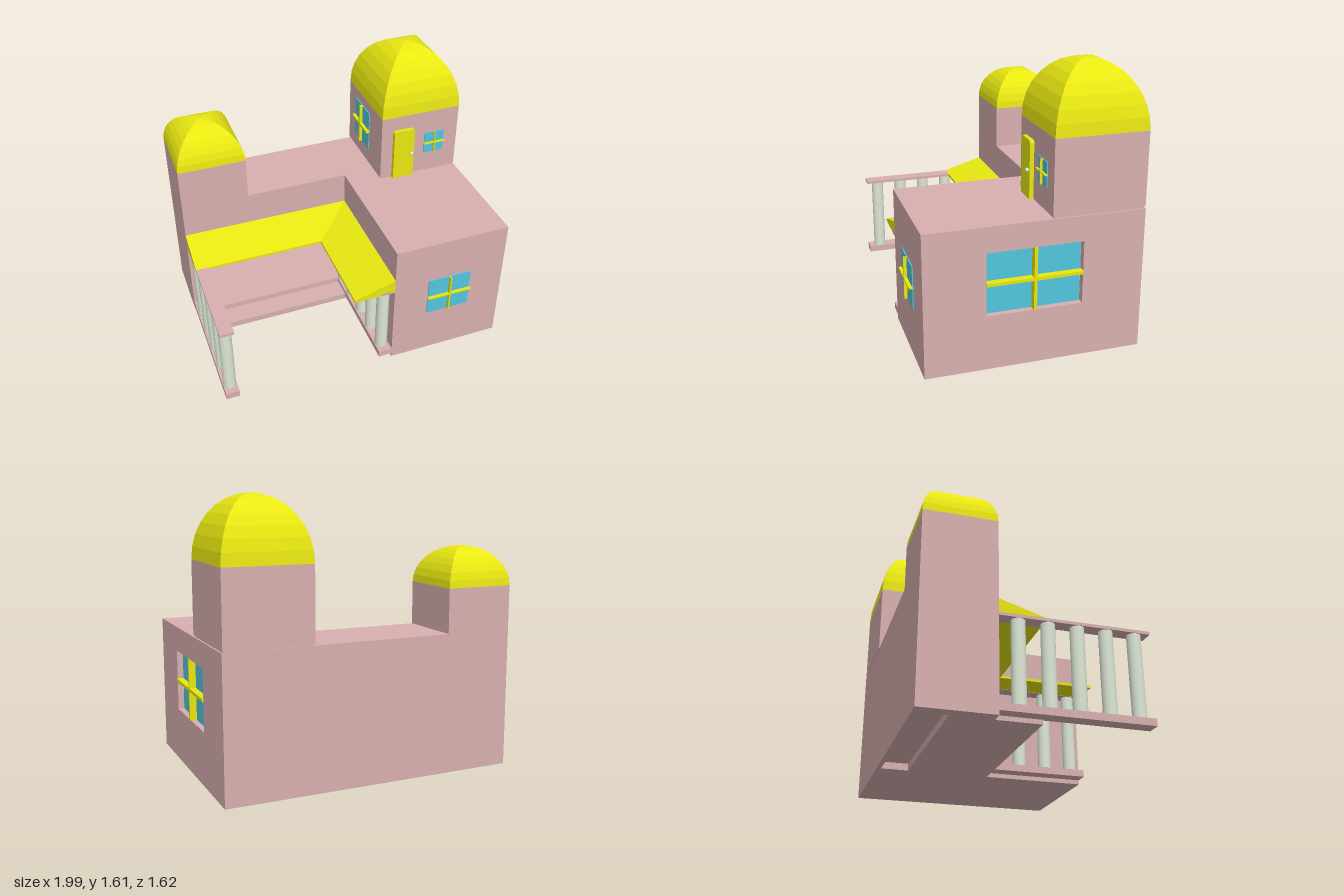
import * as THREE from 'three';

const paint = (color, extra = {}) => new THREE.MeshStandardMaterial({ color, ...extra });
const pink = paint(0xd8b0b0);
const yellow = paint(0xe8e812, { flatShading: true });
const glass = paint(0x52c6de);
const pale = paint(0xdde8d6);

export function createModel() {
  const house = new THREE.Group();
  house.name = 'house';

  const add = (name, geometry, material, parent = house) => {
    const mesh = new THREE.Mesh(geometry, material);
    mesh.name = name;
    parent.add(mesh);
    return mesh;
  };
  // Box given by its limits on each axis
  const box = (name, mat, x0, x1, y0, y1, z0, z1, parent) => {
    const m = add(name, new THREE.BoxGeometry(x1 - x0, y1 - y0, z1 - z0), mat, parent);
    m.position.set((x0 + x1) / 2, (y0 + y1) / 2, (z0 + z1) / 2);
    return m;
  };

  // Plan lines shared by the parts
  const L = -0.872, R = 0.872, B = -0.62, F = 0.61, wingX = 0.168, barZ = -0.212;
  const roofY = 0.82, ceilingY = 0.57;

  // Main wing, with a window opening through its right-hand wall
  const wallT = 0.04;
  box('wing', pink, wingX, R - wallT, 0, roofY, B, F);
  const wall = new THREE.Shape([[-F, 0], [-B, 0], [-B, roofY], [-F, roofY]].map(p => new THREE.Vector2(...p)));
  wall.holes.push(new THREE.Path([[-0.27, 0.315], [-0.27, 0.675], [0.27, 0.675], [0.27, 0.315]].map(p => new THREE.Vector2(...p))));
  const sideWall = add('sideWall', new THREE.ExtrudeGeometry(wall, { depth: wallT, bevelEnabled: false }), pink);
  sideWall.rotation.y = Math.PI / 2;
  sideWall.position.x = R - wallT;

  // Back range: thin walls round an open porch room, solid above
  box('backWall', pink, L, wingX, 0, ceilingY, B, B + 0.025);
  box('endWall', pink, L, L + 0.072, 0, ceilingY, B, barZ);
  box('upperRange', pink, L, wingX, ceilingY, roofY, B, barZ);

  // Porch floor and step
  box('porchFloor', pink, L + 0.072, wingX, 0.04, 0.075, B, -0.1);
  box('porchStep', pink, L + 0.072, wingX, 0, 0.04, -0.44, 0.03);

  // Railings on both sides of the porch
  for (const [name, x] of [['leftRailing', L], ['rightRailing', wingX - 0.082]]) {
    const railing = new THREE.Group();
    railing.name = name;
    house.add(railing);
    box('bottomRail', pink, x, x + 0.082, 0.025, 0.065, barZ, F, railing);
    box('topRail', pink, x, x + 0.082, 0.528, 0.545, barZ, F, railing);
    for (let i = 0; i < 5; i++) {
      const column = add('column', new THREE.CylinderGeometry(0.038, 0.038, 0.465, 20), pale, railing);
      column.position.set(x + 0.041, 0.2965, -0.1 + i * 0.159);
    }
  }

  // Awning: one wedge profile carried round the inner corner
  const profile = [[0, 0.53], [0, 0.62], [0.25, 0.545], [0.25, 0.53]];
  const rings = [
    profile.map(([d, y]) => [L, y, barZ + d]),
    profile.map(([d, y]) => [wingX - d, y, barZ + d]),
    profile.map(([d, y]) => [wingX - d, y, F]),
  ];
  const verts = [];
  const quad = (a, b, c, d) => verts.push(...a, ...b, ...c, ...a, ...c, ...d);
  for (let s = 0; s < 2; s++) {
    for (let k = 0; k < 4; k++) {
      const n = (k + 1) % 4;
      quad(rings[s][k], rings[s][n], rings[s + 1][n], rings[s + 1][k]);
    }
  }
  quad(rings[0][0], rings[0][3], rings[0][2], rings[0][1]);
  quad(...rings[2]);
  const awning = new THREE.BufferGeometry();
  awning.setAttribute('position', new THREE.Float32BufferAttribute(verts, 3));
  awning.computeVertexNormals();
  add('awning', awning, yellow);

  // Square towers with four-sided domes
  const tower = (name, x0, x1, y0, y1, z0, z1, top) => {
    box(name, pink, x0, x1, y0, y1, z0, z1);
    const curve = [];
    for (let i = 0; i <= 8; i++) {
      const a = (i / 8) * Math.PI / 2;
      curve.push(new THREE.Vector2(i === 8 ? 0 : Math.SQRT2 * Math.cos(a), Math.sin(a)));
    }
    const dome = add(name + 'Dome', new THREE.LatheGeometry(curve, 4, Math.PI / 4), yellow);
    dome.scale.set((x1 - x0) / 2, top - y1, (z1 - z0) / 2);
    dome.position.set((x0 + x1) / 2, y1, (z0 + z1) / 2);
  };
  tower('smallTower', L, -0.463, roofY, 1.077, B, barZ, 1.302);
  tower('largeTower', 0.36, 0.868, 0.83, 1.25, B, -0.092, 1.613);
  box('towerFooting', pink, 0.366, 0.862, roofY, 0.83, B + 0.006, -0.098);

  // Window with crossing bars, facing +z before it is turned
  const makeWindow = (name, w, h, x, y, z, turn, bar, out) => {
    const win = new THREE.Group();
    win.name = name;
    box('pane', glass, -w / 2, w / 2, -h / 2, h / 2, -0.01, 0.006, win);
    box('uprightBar', yellow, -bar / 2, bar / 2, -h / 2, h / 2, 0, out, win);
    box('crossBar', yellow, -w / 2 - 0.004, w / 2 + 0.004, -bar / 2, bar / 2, 0, out, win);
    win.position.set(x, y, z);
    win.rotation.y = turn;
    house.add(win);
  };
  makeWindow('frontWindow', 0.27, 0.25, 0.518, 0.427, F, 0, 0.009, 0.025);
  makeWindow('sideWindow', 0.532, 0.36, R - wallT, 0.495, 0, Math.PI / 2, 0.018, 0.046);
  makeWindow('towerFrontWindow', 0.13, 0.14, 0.711, 1.03, -0.092, 0, 0.007, 0.02);
  makeWindow('towerSideWindow', 0.225, 0.255, 0.36, 1.06, -0.397, -Math.PI / 2, 0.016, 0.025);

  // Tower door with softened top corners, and its knob
  const leaf = new THREE.Shape();
  leaf.moveTo(0.435, 0.825);
  leaf.lineTo(0.57, 0.825);
  leaf.lineTo(0.57, 1.14);
  leaf.quadraticCurveTo(0.57, 1.16, 0.55, 1.16);
  leaf.lineTo(0.455, 1.16);
  leaf.quadraticCurveTo(0.435, 1.16, 0.435, 1.14);
  const door = add('door', new THREE.ExtrudeGeometry(leaf, { depth: 0.025, bevelEnabled: false, curveSegments: 4 }), yellow);
  door.position.z = -0.092;
  add('doorKnob', new THREE.SphereGeometry(0.012, 14, 10), pale).position.set(0.55, 0.99, -0.06);

  // The whole house stands turned on its plot
  house.rotation.y = THREE.MathUtils.degToRad(14);
  const model = new THREE.Group();
  model.name = 'domedHouse';
  model.add(house);
  return model;
}
